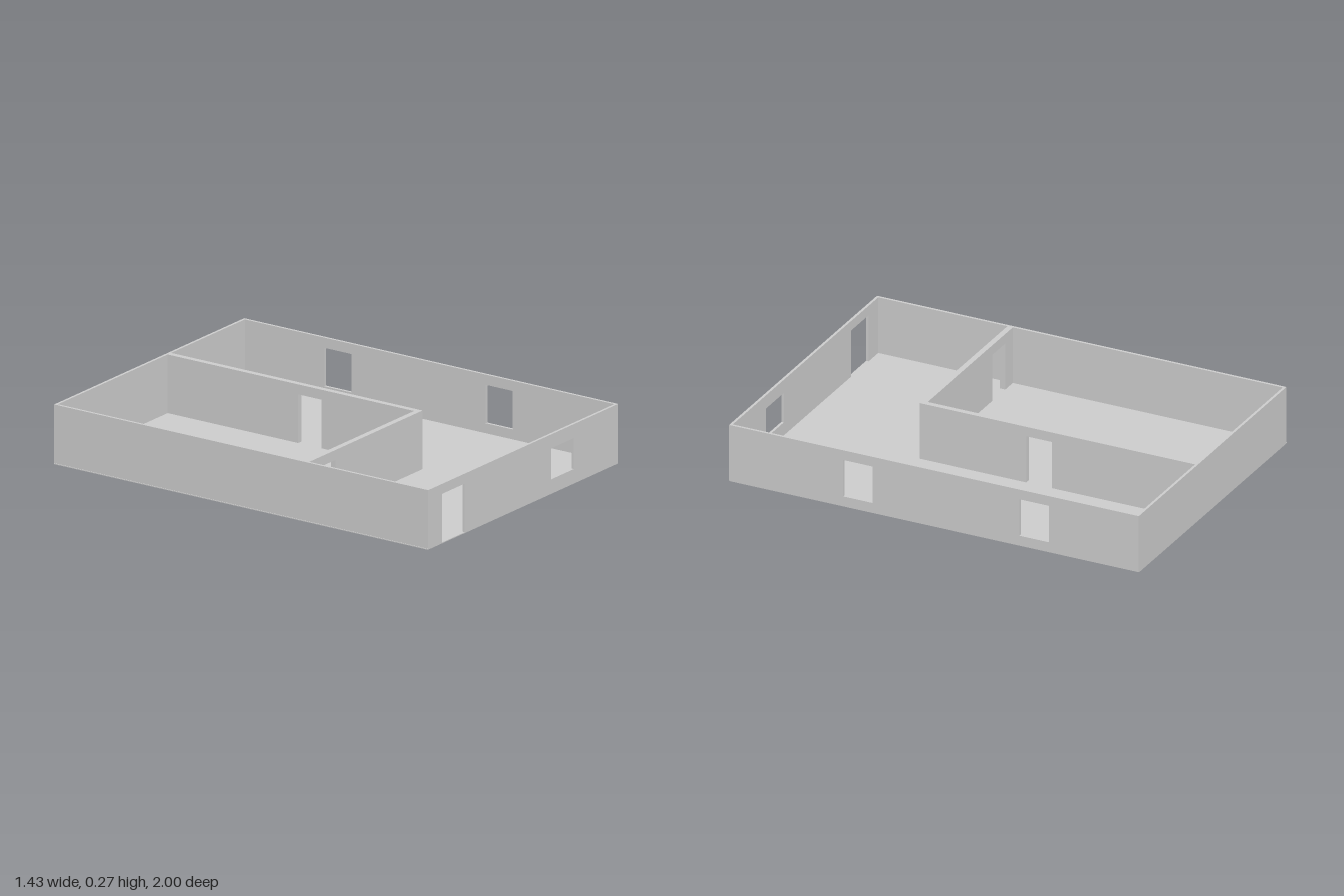
import * as THREE from 'three';

const X = 0.715, Z = 1, HEIGHT = 0.274, FLOOR = 0.004;
const OUTER = 0.012, INNER = 0.026;
const material = new THREE.MeshStandardMaterial({ color: 0xcccccc, flatShading: true });

// Upright wall panel from u0 to u1 with openings [uMin, uMax, yMin, yMax]
function panel(u0, u1, thickness, openings) {
  const rect = (path, a, b, c, d) =>
    path.moveTo(a, c).lineTo(b, c).lineTo(b, d).lineTo(a, d).closePath();
  const shape = new THREE.Shape();
  shape.moveTo(u0, FLOOR);
  // Door openings reach the floor and notch the outline; windows are holes
  for (const [a, b, c, d] of openings.filter((o) => o[2] <= FLOOR).sort((p, q) => p[0] - q[0])) {
    shape.lineTo(a, FLOOR).lineTo(a, d).lineTo(b, d).lineTo(b, FLOOR);
  }
  shape.lineTo(u1, FLOOR).lineTo(u1, HEIGHT).lineTo(u0, HEIGHT).closePath();
  for (const [a, b, c, d] of openings.filter((o) => o[2] > FLOOR)) {
    shape.holes.push(rect(new THREE.Path(), a, b, c, d));
  }
  return new THREE.ExtrudeGeometry(shape, { depth: thickness, bevelEnabled: false });
}

export function createModel() {
  const group = new THREE.Group();
  const add = (name, geometry) => {
    const mesh = new THREE.Mesh(geometry, material);
    mesh.name = name;
    group.add(mesh);
  };

  // Wall running along x, with its back face at z
  const wallX = (name, x0, x1, z, t, openings = []) =>
    add(name, panel(x0, x1, t, openings).translate(0, 0, z));

  // Wall running along z, with its lower face at x; openings are given in z
  const wallZ = (name, z0, z1, x, t, openings = []) => {
    const flipped = openings.map(([a, b, c, d]) => [-b, -a, c, d]);
    add(name, panel(-z1, -z0, t, flipped).rotateY(Math.PI / 2).translate(x, 0, 0));
  };

  // Floor slab, slightly proud of the right wall
  add('floor', new THREE.BoxGeometry(2 * X, FLOOR, 2 * Z).translate(-0.003, FLOOR / 2, 0));

  // Outer walls
  wallX('frontWall', -X, X, Z - OUTER, OUTER, [
    [-0.61, -0.44, FLOOR, 0.228],
    [0.21, 0.38, 0.067, 0.21],
  ]);
  wallX('backWall', -X, X, -Z, OUTER);
  wallZ('leftWall', -Z + OUTER, Z - OUTER, X - OUTER, OUTER, [
    [0.3, 0.443, 0.05, 0.227],
    [-0.562, -0.418, 0.05, 0.227],
  ]);
  wallZ('rightWall', -Z + OUTER, Z - OUTER, -X, OUTER);

  // Partition walls enclosing the inner room, each with a doorway
  wallX('innerFrontWall', -X + OUTER, 0.148, 0.33, INNER, [[-0.63, -0.505, FLOOR, 0.228]]);
  wallZ('innerSideWall', -Z + OUTER, 0.33, 0.122, INNER, [[-0.29, -0.165, FLOOR, 0.228]]);

  return group;
}
